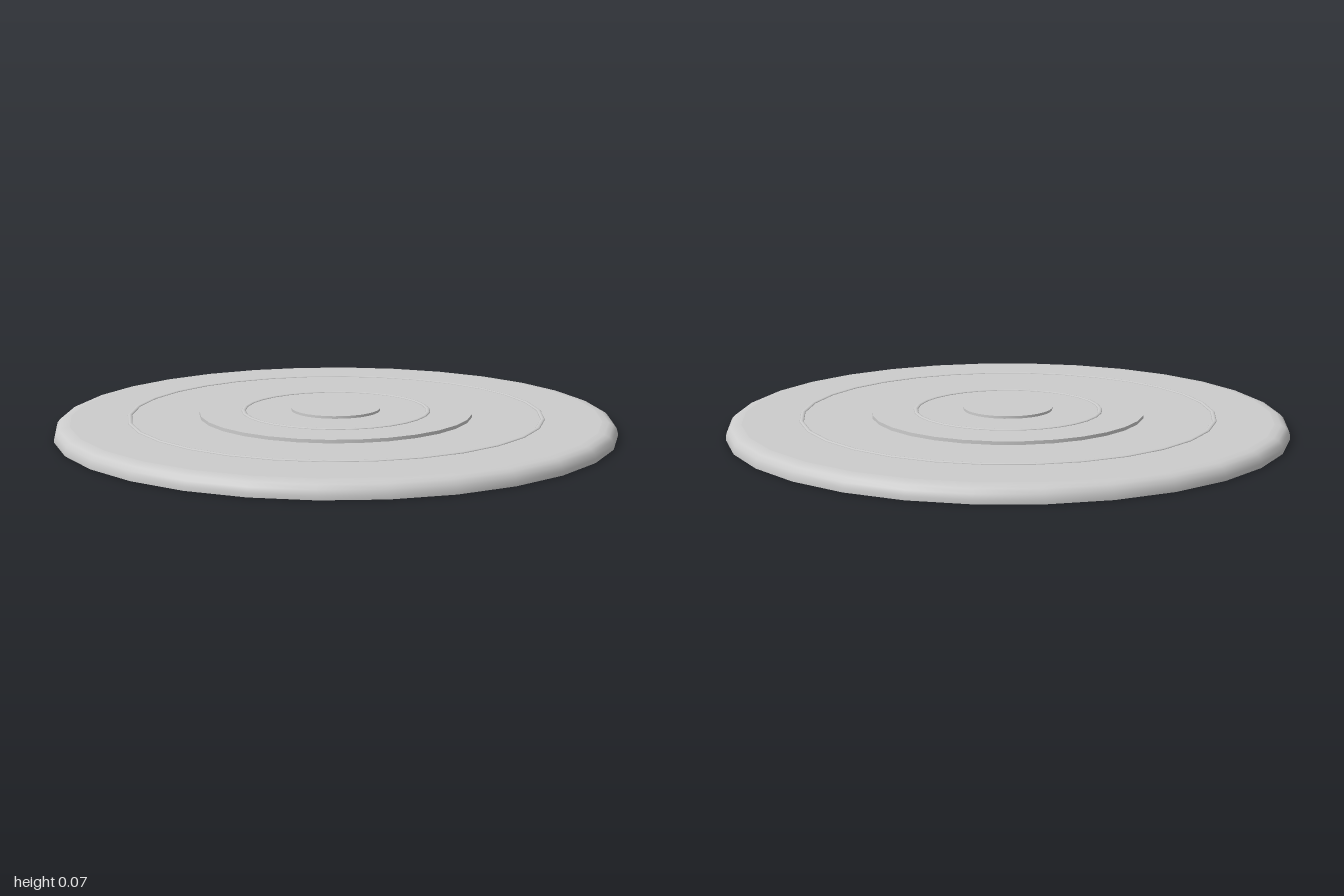
import * as THREE from 'three';

const SIDES = 30;
const material = new THREE.MeshStandardMaterial({ color: 0xcccccc });

export function createModel() {
  const group = new THREE.Group();

  function add(name, geometry, y = 0) {
    const mesh = new THREE.Mesh(geometry, material);
    mesh.name = name;
    mesh.position.y = y;
    group.add(mesh);
    return mesh;
  }

  // Rounded rim, turned from a short profile with a vertex on +x
  const rim = [[1, 0], [1, 0.013], [0.995, 0.03], [0.983, 0.043], [0.967, 0.05], [0.945, 0.052]];
  add('baseRim', new THREE.LatheGeometry(rim.map(([r, y]) => new THREE.Vector2(r, y)), SIDES, Math.PI / 2));

  // Flat faces closing the rim above and below
  add('baseTop', new THREE.CircleGeometry(0.945, SIDES).rotateX(-Math.PI / 2), 0.052);
  add('baseUnderside', new THREE.CircleGeometry(1, SIDES).rotateX(Math.PI / 2));

  // Thin stepped discs stacked on the base
  function disc(name, radius, bottom, top) {
    const geometry = new THREE.CylinderGeometry(radius, radius, top - bottom, SIDES);
    add(name, geometry.rotateY(Math.PI / 2), (bottom + top) / 2);
  }
  disc('middleDisc', 0.49, 0.05, 0.064);
  disc('centreDisc', 0.16, 0.06, 0.073);

  // Low inlaid rings, standing just proud of the discs
  function ring(name, radius, y) {
    const geometry = new THREE.TorusGeometry(radius, 0.008, 8, SIDES).rotateX(Math.PI / 2);
    add(name, geometry, y).scale.y = 0.5;
  }
  ring('outerRing', 0.738, 0.052);
  ring('innerRing', 0.332, 0.064);

  return group;
}
